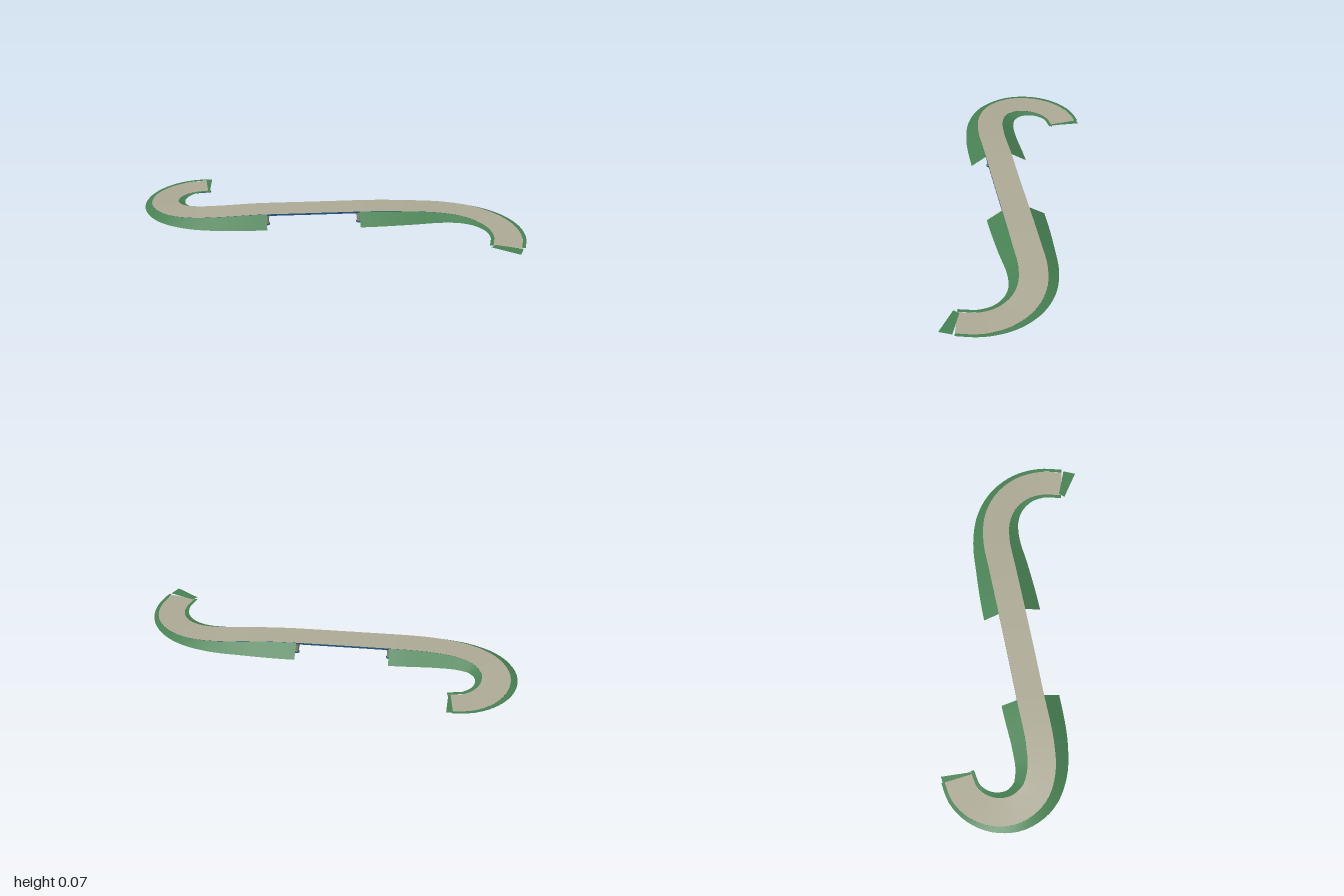
import * as THREE from 'three';

const mat = (name, color, side = THREE.FrontSide) => {
  const m = new THREE.MeshStandardMaterial({ color, side });
  m.name = name;
  return m;
};

// Ribbon of quads between two rows of points
function ribbon(a, b) {
  const pos = [], idx = [];
  a.forEach((p, i) => {
    pos.push(...p, ...b[i]);
    if (i) {
      const k = 2 * i;
      idx.push(k - 2, k - 1, k, k - 1, k + 1, k);
    }
  });
  const g = new THREE.BufferGeometry();
  g.setAttribute('position', new THREE.Float32BufferAttribute(pos, 3));
  g.setIndex(idx);
  g.computeVertexNormals();
  return g;
}

export function createModel() {
  const root = new THREE.Group();
  root.name = 'curvedBridge';
  const paving = mat('paving', 0xaba894);
  const grass = mat('grass', 0x478052, THREE.DoubleSide);
  const edging = mat('blue edging', 0x24567f);
  const cream = mat('cream stone', 0xd2ccb2);
  const stone = mat('grey stone', 0x8d897c);

  const add = (name, geo, material, parent = root) => {
    const m = new THREE.Mesh(geo, material);
    m.name = name;
    parent.add(m);
    return m;
  };

  // S-shaped centre line, as x and z
  const path = [
    [-0.84, 0.15], [-0.895, 0.235], [-0.908, 0.33], [-0.88, 0.425], [-0.805, 0.505], [-0.69, 0.535],
    [-0.575, 0.5], [-0.455, 0.41], [-0.28, 0.23], [-0.1, 0.045], [0.073, -0.135], [0.25, -0.32],
    [0.385, -0.457], [0.5, -0.53], [0.62, -0.555], [0.74, -0.53], [0.835, -0.46], [0.9, -0.36],
  ];
  const curve = new THREE.CatmullRomCurve3(path.map(([x, z]) => new THREE.Vector3(x, 0, z)), false, 'centripetal');
  const N = 110;
  const pts = curve.getSpacedPoints(N);
  const tan = pts.map((_, i) => curve.getTangentAt(i / N));
  const nearest = (x, z) => {
    let best = 0;
    pts.forEach((p, i) => {
      if (Math.hypot(p.x - x, p.z - z) < Math.hypot(pts[best].x - x, pts[best].z - z)) best = i;
    });
    return best;
  };
  const i0 = nearest(-0.28, 0.23), i1 = nearest(0.073, -0.135);

  // Ramp height from 0 at the ends to 1 on the span
  const rise = (i) => THREE.MathUtils.smoothstep(Math.min(i / i0, (N - i) / (N - i1)), 0, 1);
  const top = (i) => 0.01 + 0.057 * rise(i);
  const at = (i, off, y) => [pts[i].x - tan[i].z * off, y, pts[i].z + tan[i].x * off];
  const row = (from, to, off, y) => {
    const out = [];
    for (let i = from; i <= to; i++) out.push(at(i, off(i), y(i)));
    return out;
  };

  // Road slab with blue edges
  const W = 0.074, T = 0.01;
  const line = (side, y) => row(0, N, () => side * W, y);
  const under = (i) => top(i) - T;
  add('roadSurface', ribbon(line(-1, top), line(1, top)), paving);
  add('roadUnderside', ribbon(line(1, under), line(-1, under)), paving);
  add('roadEdgeFront', ribbon(line(1, top), line(1, under)), edging);
  add('roadEdgeBack', ribbon(line(-1, under), line(-1, top)), edging);

  // Open grass embankments on both sides of each ramp
  const base = 0.012;
  for (const [name, from, to] of [['left', i0, i0], ['right', i1, N]].map(([n, a, b]) => n === 'left' ? ['rightRamp', 0, a] : ['leftRamp', a, b])) {
    for (const s of [-1, 1]) {
      const crest = row(from, to, () => s * W, (i) => Math.max(top(i) - 0.001, base));
      const foot = row(from, to, (i) => s * (W + 0.018 + 0.066 * rise(i)), () => base);
      add(name + (s > 0 ? 'FrontBank' : 'BackBank'), s > 0 ? ribbon(crest, foot) : ribbon(foot, crest), grass);
    }
  }

  // Flat grass verges closing the ramp ends
  const verge = (name, a, b) => add(name, ribbon(a.map(([x, z]) => [x, base, z]), b.map(([x, z]) => [x, base, z])), grass);
  verge('rightRampVerge', [[-0.89, 0.078], [-0.785, 0.19]], [[-0.912, 0.105], [-0.785, 0.205]]);
  verge('leftRampVerge', [[0.84, -0.335], [0.975, -0.395]], [[0.84, -0.298], [1.0, -0.33]]);

  // Piers at both ends of the span
  for (const [name, i] of [['rightPier', i0], ['leftPier', i1]]) {
    const pier = new THREE.Group();
    pier.name = name;
    pier.position.copy(pts[i]);
    pier.rotation.y = Math.atan2(-tan[i].z, tan[i].x);
    root.add(pier);
    add('pierWall', new THREE.BoxGeometry(0.022, 0.044, 0.115), cream, pier).position.y = 0.031;
    add('pierCap', new THREE.BoxGeometry(0.034, 0.005, 0.14), stone, pier).position.y = 0.0545;
    for (const s of [-1, 1]) {
      add('pierColumn', new THREE.CylinderGeometry(0.012, 0.012, 0.05, 12), stone, pier).position.set(0, 0.029, s * 0.057);
      add('columnFooting', new THREE.CylinderGeometry(0.016, 0.016, 0.006, 12), edging, pier).position.set(0, 0.003, s * 0.057);
    }
  }
  return root;
}
